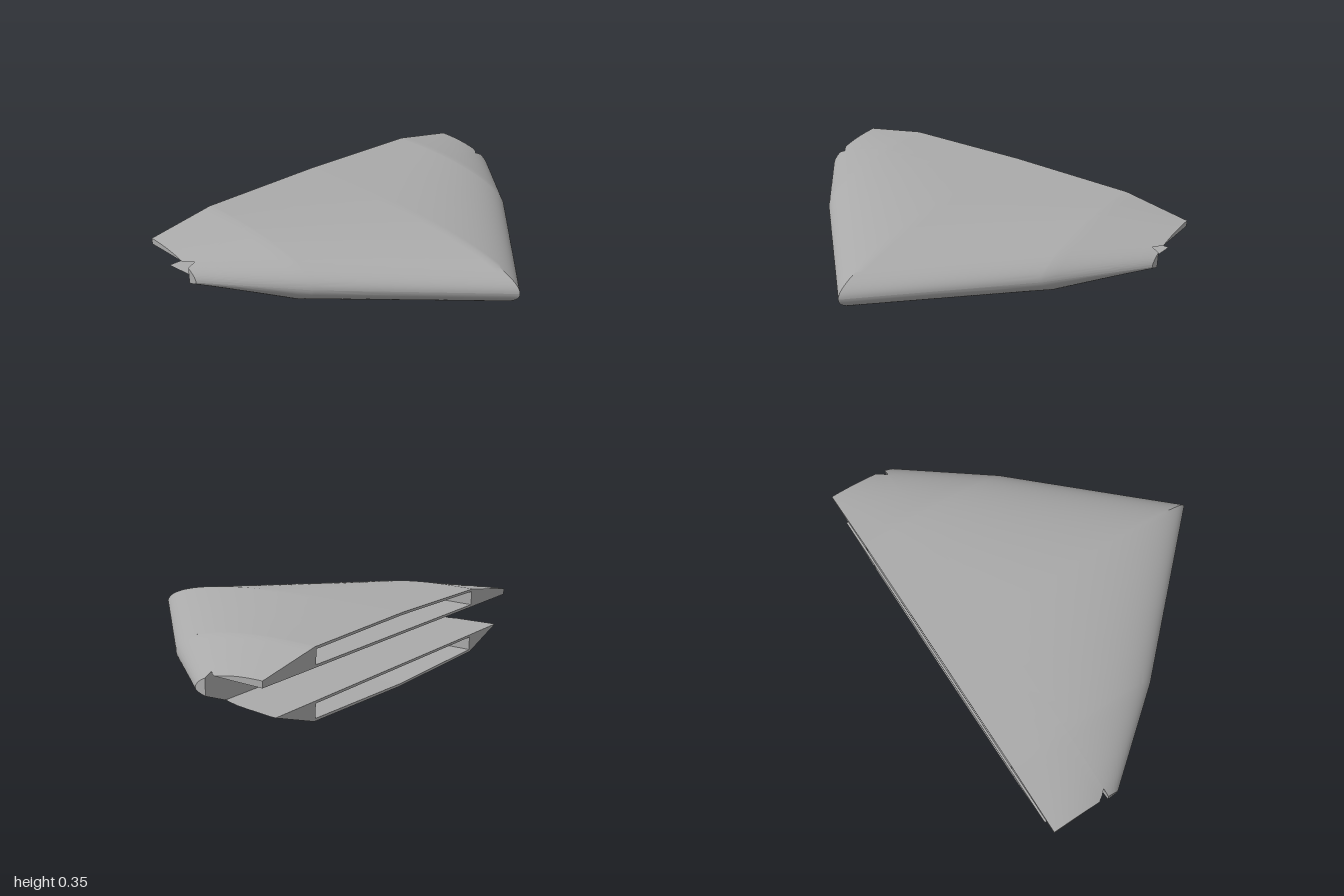
import * as THREE from 'three';
import { mergeVertices, toCreasedNormals } from 'three/addons/utils/BufferGeometryUtils.js';

// Main dimensions
const REAR = -0.735, SLOT_X = -0.435, SLOT_TOP = 0.25, SLOT_LOW = 0.105;
const MID_Y = 0.178, WALL = 0.012, BAY = 0.65;
const HOLES = [{ x: 0.435, r: 0.08, z: 0.1 }, { x: 0.04, r: 0.03, z: 0.05 }];

// Values at root, shoulder and tip, blended along the span
const along = (root, mid, tip) => (z) => {
  const s = Math.abs(z);
  return s < 0.66 ? root + (mid - root) * s / 0.66 : mid + (tip - mid) * (s - 0.66) / 0.34;
};
const nose = along(0.735, 0.05, -0.38);
const curve = along(0.98, 0.65, 0.36);
const rise = along(0.174, 0.163, 0.102);
const drop = along(0.178, 0.162, 0.045);
const LOW_TIP = 0.66 + 0.34 * (0.162 - (MID_Y - SLOT_LOW)) / (0.162 - 0.045);

// Skin height: a flat back running into an elliptical leading edge
function skinY(sign, x, z, inset = 0) {
  const a = curve(z), start = nose(z) - 3 * inset - a;
  const u = Math.max(0, (x - start) / a);
  const h = (sign > 0 ? rise(z) : drop(z)) - inset;
  return MID_Y + sign * h * Math.sqrt(Math.max(0, 1 - u * u));
}

// Where a flap is cut off by the slot
function flapEnd(sign, z) {
  const gap = sign > 0 ? SLOT_TOP - MID_Y : MID_Y - SLOT_LOW;
  const q = Math.min(1, gap / (sign > 0 ? rise(z) : drop(z)));
  return Math.min(SLOT_X, nose(z) - curve(z) + curve(z) * Math.sqrt(1 - q * q));
}

// Span stations, mirrored
function stations(limit) {
  const half = [0.025, 0.05, 0.075, 0.1, 0.2, 0.33, 0.5, 0.6, 0.65, 0.66, 0.7, 0.76, 0.82,
    0.86, 0.88, 0.9, 0.92, 0.94, 0.95, 0.96, 0.98].filter((z) => z < limit - 1e-4);
  half.push(limit);
  return [...half.map((z) => -z).reverse(), 0, ...half];
}

// Sheet through rows of points, optionally with round holes ringed into it
function sheet(rows, holes = [], heightAt = null) {
  const n = rows[0].length, points = rows.flat(), index = [];
  const id = (j, i) => j * n + i;
  const quad = (a, b, c, d) => index.push(a, b, c, a, c, d);
  const cuts = holes.map((o) => {
    const inSpan = rows.map((r, j) => j).filter((j) => Math.abs(rows[j][0][2]) < o.z + 1e-4);
    const j0 = inSpan[0], j1 = inSpan[inSpan.length - 1], mid = (j0 + j1) / 2;
    let i0 = 0, i1 = n - 1;
    while (rows[mid][i0 + 1][0] < o.x - o.r * 1.1) i0++;
    while (rows[j0][i1 - 1][0] > o.x + o.r * 1.1) i1--;
    return { o, j0, j1, i0, i1 };
  });
  for (let j = 0; j < rows.length - 1; j++) {
    for (let i = 0; i < n - 1; i++) {
      if (cuts.some((c) => j >= c.j0 && j < c.j1 && i >= c.i0 && i < c.i1)) continue;
      quad(id(j, i), id(j, i + 1), id(j + 1, i + 1), id(j + 1, i));
    }
  }
  for (const { o, j0, j1, i0, i1 } of cuts) {
    const rim = [];
    for (let i = i0; i < i1; i++) rim.push(id(j0, i));
    for (let j = j0; j < j1; j++) rim.push(id(j, i1));
    for (let i = i1; i > i0; i--) rim.push(id(j1, i));
    for (let j = j1; j > j0; j--) rim.push(id(j, i0));
    const first = points.length;
    for (const k of rim) {
      const t = Math.atan2(points[k][2], points[k][0] - o.x);
      const x = o.x + o.r * Math.cos(t), z = o.r * Math.sin(t);
      points.push([x, heightAt(x, z), z]);
    }
    rim.forEach((k, m) => {
      const next = (m + 1) % rim.length;
      quad(k, rim[next], first + next, first + m);
    });
  }
  const g = new THREE.BufferGeometry();
  g.setAttribute('position', new THREE.Float32BufferAttribute(points.flat(), 3));
  g.setIndex(index);
  return toCreasedNormals(mergeVertices(g), 0.6);
}

// Row of skin points from x0 to the leading edge, closer together at the edge
function skinRow(sign, z, x0, inset, steps) {
  const x1 = nose(z) - 3 * inset;
  return Array.from({ length: steps + 1 }, (_, i) => {
    const x = i === steps ? x1 : x0 + (x1 - x0) * Math.sin(i / steps * Math.PI / 2);
    return [x, skinY(sign, x, z, inset), z];
  });
}

const flatShape = (pts) => new THREE.Shape(pts.map((p) => new THREE.Vector2(p[0], p[1])));

export function createModel() {
  const model = new THREE.Group();
  const grey = new THREE.MeshStandardMaterial({ color: 0xaaaaaa, side: THREE.DoubleSide });
  grey.name = 'grey';
  const add = (name, geometry) => {
    const mesh = new THREE.Mesh(geometry, grey);
    mesh.name = name;
    model.add(mesh);
    return mesh;
  };
  const span = stations(1);

  for (const sign of [1, -1]) {
    const side = sign > 0 ? 'upper' : 'lower';
    const holes = sign > 0 ? [] : HOLES;
    const slotY = sign > 0 ? SLOT_TOP : SLOT_LOW;
    const tip = sign > 0 ? 1 : LOW_TIP;

    // Outer skin ahead of the slot, and the skin of the hollow bay inside
    add(side + 'Skin', sheet(span.map((z) => skinRow(sign, z, SLOT_X, 0, 30)),
      holes, (x, z) => skinY(sign, x, z)));
    add(side + 'BaySkin', sheet(stations(BAY).map((z) => skinRow(sign, z, REAR, WALL, 36)),
      holes, (x, z) => skinY(sign, x, z, WALL)));

    // Rear flap: outer skin and slot face
    const flapSpan = stations(tip);
    const flapRow = (z, y) => Array.from({ length: 9 }, (_, i) => {
      const x = REAR + (flapEnd(sign, z) - REAR) * i / 8;
      return [x, y(x, z), z];
    });
    add(side + 'Flap', sheet(flapSpan.map((z) => flapRow(z, (x) => skinY(sign, x, z)))));
    add(side + 'SlotFace', sheet(flapSpan.map((z) => flapRow(z, () => slotY))));

    // Thin wall between slot and bay
    const wall = add(side + 'SlotWall',
      new THREE.BoxGeometry(SLOT_X - REAR + WALL, WALL - 0.001, 2 * BAY));
    wall.position.set((REAR + SLOT_X + WALL) / 2, slotY + sign * (WALL + 0.001) / 2, 0);

    // Trailing edge frame around the open bay
    const frame = flatShape([...flapSpan.map((z) => [z, skinY(sign, REAR, z)]),
      [tip, slotY], [-tip, slotY]]);
    const inner = (z) => new THREE.Vector2(z, skinY(sign, REAR, z, WALL));
    frame.holes.push(new THREE.Path([new THREE.Vector2(-BAY, slotY + sign * WALL),
      new THREE.Vector2(BAY, slotY + sign * WALL), inner(BAY), inner(0), inner(-BAY)]));
    add(side + 'TrailingEdge', new THREE.ShapeGeometry(frame).rotateY(-Math.PI / 2).translate(REAR, 0, 0));
  }

  // Front wall of the slot
  add('slotEnd', sheet(span.map((z) => [
    [SLOT_X, Math.max(SLOT_LOW, skinY(-1, SLOT_X, z)), z],
    [SLOT_X, Math.min(SLOT_TOP, skinY(1, SLOT_X, z)), z]])));
  add('slotEndWall', new THREE.BoxGeometry(WALL - 0.001, SLOT_TOP - SLOT_LOW, 2 * BAY))
    .position.set(SLOT_X + (WALL + 0.001) / 2, (SLOT_TOP + SLOT_LOW) / 2, 0);

  // Rims of the round openings underneath
  for (const o of HOLES) {
    const ring = Array.from({ length: 25 }, (_, k) => {
      const t = k / 24 * Math.PI * 2, x = o.x + o.r * Math.cos(t), z = o.r * Math.sin(t);
      return [[x, skinY(-1, x, z), z], [x, skinY(-1, x, z, WALL), z]];
    });
    add('openingRim', sheet(ring));
  }

  // Bay ribs and wing tip faces
  const profile = (z, x0) => [...skinRow(1, z, x0, 0, 24), ...skinRow(-1, z, x0, 0, 24).reverse().slice(1)];
  const rib = flatShape([...profile(BAY, REAR), [REAR, SLOT_LOW], [SLOT_X, SLOT_LOW],
    [SLOT_X, SLOT_TOP], [REAR, SLOT_TOP]]);
  const tipFace = flatShape(profile(1, SLOT_X));
  const end = flapEnd(1, 1);
  const flapTip = flatShape([[REAR, SLOT_TOP], ...Array.from({ length: 9 }, (_, i) => {
    const x = REAR + (end - REAR) * i / 8;
    return [x, skinY(1, x, 1)];
  })]);
  for (const s of [1, -1]) {
    add('bayRib', new THREE.ShapeGeometry(rib)).position.z = s * BAY;
    for (const [name, shape] of [['tipFace', tipFace], ['flapTip', flapTip]]) {
      const g = new THREE.ShapeGeometry(shape);
      if (s < 0) g.rotateY(Math.PI).scale(-1, 1, 1);
      add(name, g).position.z = s;
    }
  }
  return model;
}
